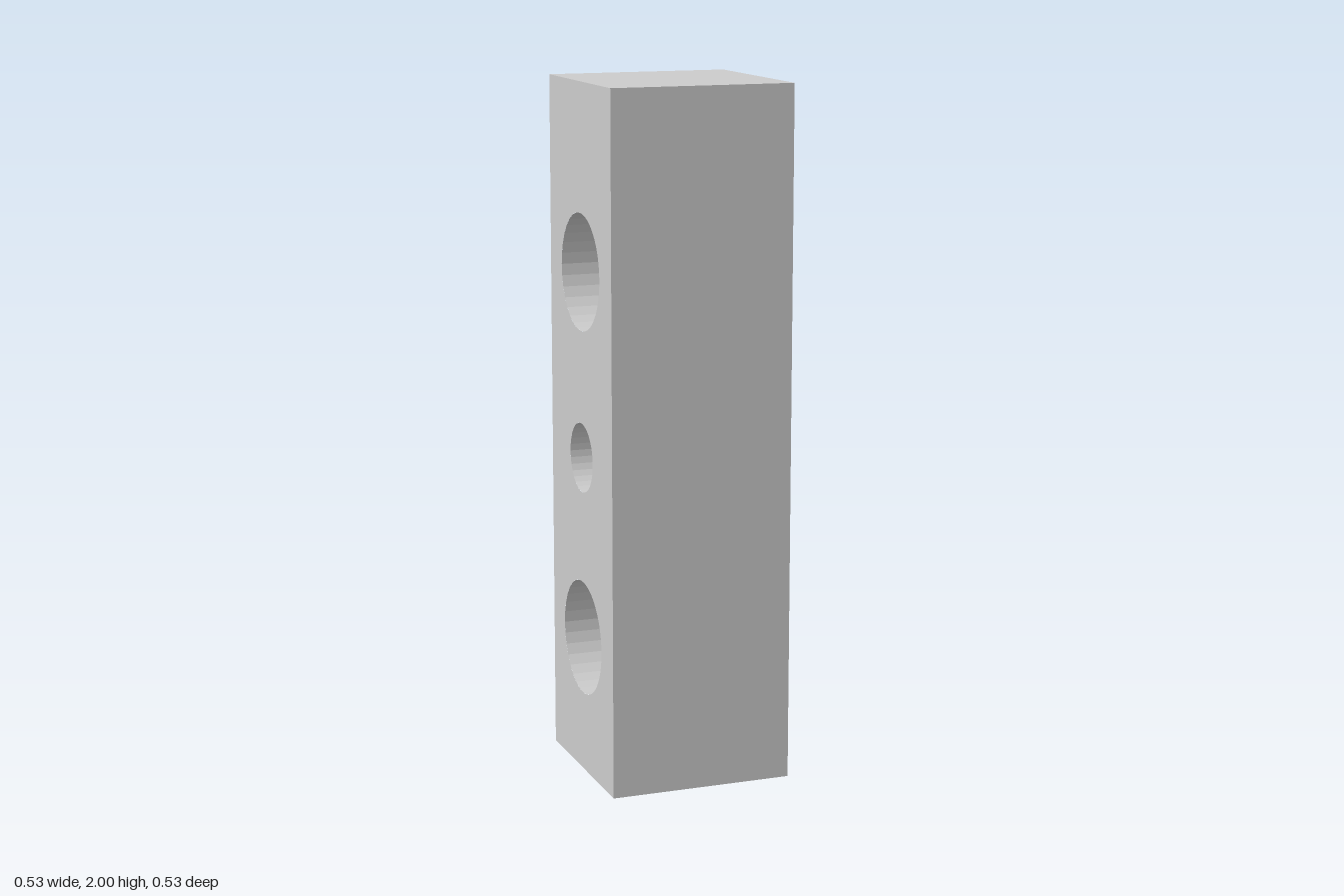
import * as THREE from 'three';

const WIDTH = 0.534, HEIGHT = 2, DEPTH = 0.36, SEGMENTS = 32;

// Blind bores in the right-hand (-x) face: centre height and radius
const BORES = [
  { name: 'lowerBore', y: 0.4, r: 0.167 },
  { name: 'middleBore', y: 0.933, r: 0.1 },
  { name: 'upperBore', y: 1.467, r: 0.167 },
];

export function createModel() {
  const group = new THREE.Group();
  const material = new THREE.MeshStandardMaterial({ color: 0xcccccc, flatShading: true });
  const add = (name, geometry) => {
    const mesh = new THREE.Mesh(geometry, material);
    mesh.name = name;
    group.add(mesh);
    return mesh;
  };
  const half = WIDTH / 2;

  // Block, with its -x side left open for the drilled face
  const block = new THREE.BoxGeometry(WIDTH, HEIGHT, WIDTH);
  const index = Array.from(block.index.array);
  index.splice(6, 6);
  block.setIndex(index);
  block.clearGroups();
  block.translate(0, HEIGHT / 2, 0);
  add('block', block);

  // Drilled face
  const face = new THREE.Shape([
    new THREE.Vector2(-half, 0), new THREE.Vector2(half, 0),
    new THREE.Vector2(half, HEIGHT), new THREE.Vector2(-half, HEIGHT),
  ]);
  for (const { y, r } of BORES) {
    face.holes.push(new THREE.Path().absarc(0, y, r, 0, Math.PI * 2, true));
  }
  const faceGeometry = new THREE.ShapeGeometry(face, SEGMENTS);
  faceGeometry.rotateY(-Math.PI / 2).translate(-half, 0, 0);
  add('drilledFace', faceGeometry);

  // Bore walls and floors, facing inwards
  for (const { name, y, r } of BORES) {
    const profile = [[r, DEPTH], [r, 0], [0, 0]].map(([a, b]) => new THREE.Vector2(a, b));
    const bore = new THREE.LatheGeometry(profile, SEGMENTS);
    bore.rotateZ(Math.PI / 2);
    add(name, bore).position.set(-half + DEPTH, y, 0);
  }
  return group;
}
